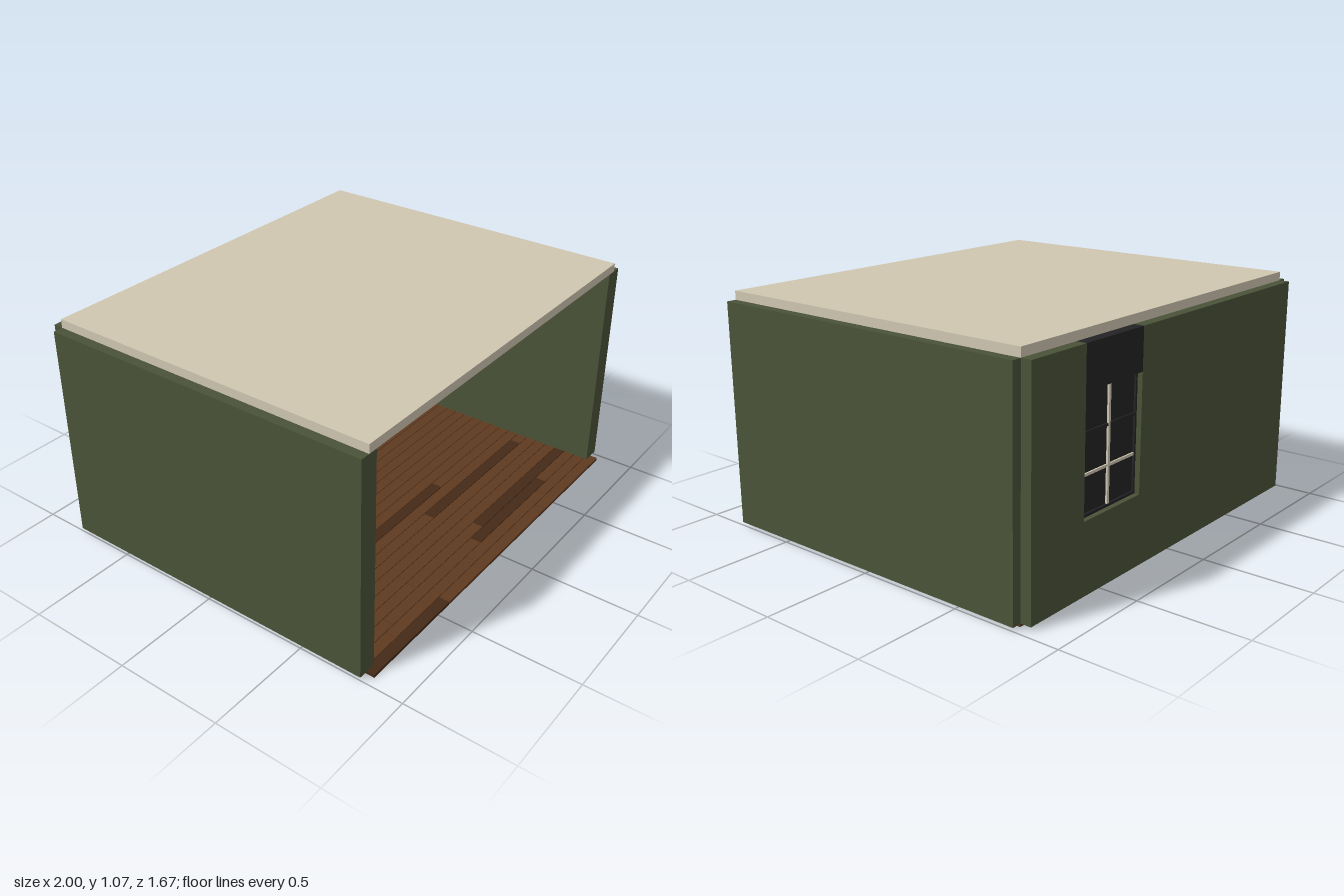
import * as THREE from 'three';

const mat = (name, color, side = THREE.FrontSide) => {
  const m = new THREE.MeshStandardMaterial({ color, side });
  m.name = name;
  return m;
};

export function createModel() {
  const green = mat('wall green', 0x4a5338);
  const cream = mat('cream', 0xd0c7b1);
  const wood = mat('wood brown', 0x5f3a20);
  const darkWood = mat('dark wood', 0x452916);
  const black = mat('charcoal', 0x232325);
  const red = mat('dull red', 0x6c2d2f);
  const blue = mat('sky blue', 0x7596a3);

  const room = new THREE.Group();
  room.name = 'room';
  const group = (name) => {
    const g = new THREE.Group();
    g.name = name;
    room.add(g);
    return g;
  };
  // Box given by its lowest and highest corners
  const box = (parent, name, m, x0, x1, y0, y1, z0, z1) => {
    const mesh = new THREE.Mesh(new THREE.BoxGeometry(x1 - x0, y1 - y0, z1 - z0), m);
    mesh.position.set((x0 + x1) / 2, (y0 + y1) / 2, (z0 + z1) / 2);
    mesh.name = name;
    parent.add(mesh);
    return mesh;
  };
  const cylinder = (parent, name, m, rTop, rBottom, x, y0, y1, z, sides = 16) => {
    const mesh = new THREE.Mesh(new THREE.CylinderGeometry(rTop, rBottom, y1 - y0, sides), m);
    mesh.position.set(x, (y0 + y1) / 2, z);
    mesh.name = name;
    parent.add(mesh);
    return mesh;
  };
  let seed = 11;
  const random = () => (seed = (seed * 16807) % 2147483647) / 2147483647;

  // Floor of staggered planks
  const floor = group('floor');
  const rows = 30, pitch = 1.625 / rows;
  for (let i = 0; i < rows; i++) {
    const z1 = 0.835 - i * pitch;
    let x = -0.955;
    let end = i === 0 ? -0.415 : -0.955 + 0.2 + random() * 0.6;
    while (x < 0.955) {
      if (0.955 - end < 0.1) end = 0.955;
      const m = random() < 0.1 ? darkWood : wood;
      box(floor, 'floorPlank', m, x, end - (end < 0.955 ? 0.003 : 0), 0, 0.014, z1 - pitch + 0.003, z1);
      x = end;
      end += i === 0 ? 0.83 : 0.45 + random() * 0.4;
    }
  }
  box(floor, 'subfloor', darkWood, -0.953, 0.953, 0.002, 0.008, -0.788, 0.833);

  // Walls and ceiling
  const walls = group('walls');
  for (const s of [-1, 1]) {
    box(walls, s > 0 ? 'leftWall' : 'rightWall', green, Math.min(s, s * 0.91), Math.max(s, s * 0.91), 0.015, 1.03, -0.79, 0.8);
  }
  const zb = -0.838, zf = -0.75;
  box(walls, 'backWallRight', green, -0.955, 0.26, 0.015, 1.03, zb, zf);
  box(walls, 'backWallLeft', green, 0.635, 0.955, 0.015, 1.03, zb, zf);
  box(walls, 'backWallBelowWindow', green, 0.26, 0.635, 0.015, 0.33, zb, zf);
  box(walls, 'ceiling', cream, -0.955, 0.955, 1.03, 1.07, -0.79, 0.8);

  // Window
  const win = group('window');
  box(win, 'windowHeader', black, 0.26, 0.635, 0.845, 1.03, zb, zf);
  box(win, 'windowBlind', cream, 0.255, 0.64, 0.845, 0.912, zf, zf + 0.012);
  box(win, 'windowSill', green, 0.245, 0.65, 0.305, 0.33, zf - 0.02, zf + 0.03);
  box(win, 'glass', blue, 0.26, 0.635, 0.33, 0.845, -0.799, -0.793);
  box(win, 'glassBack', black, 0.26, 0.635, 0.33, 0.845, -0.806, -0.8);
  box(win, 'bottomRail', black, 0.26, 0.635, 0.33, 0.342, -0.815, -0.77);
  box(win, 'topRail', black, 0.26, 0.635, 0.833, 0.845, -0.815, -0.77);
  box(win, 'rightJamb', black, 0.26, 0.27, 0.33, 0.845, -0.815, -0.77);
  box(win, 'leftJamb', cream, 0.624, 0.635, 0.342, 0.833, -0.815, -0.77);
  box(win, 'mullion', cream, 0.439, 0.452, 0.342, 0.833, -0.815, -0.78);
  box(win, 'lowerGlazingBar', cream, 0.27, 0.624, 0.496, 0.508, -0.813, -0.782);
  box(win, 'upperGlazingBar', cream, 0.27, 0.624, 0.664, 0.676, -0.794, -0.782);
  box(win, 'upperGlazingBarBack', black, 0.27, 0.624, 0.664, 0.676, -0.813, -0.805);

  // Curtain folds
  const curtains = group('curtains');
  [[0.228, red], [0.371, red], [0.514, black], [0.657, black]].forEach(([x, m]) =>
    cylinder(curtains, 'curtainFold', m, 0.018, 0.018, x, 0.175, 1.0, -0.715));

  // Bookcase: dark upper part, brown lower part
  const shelf = group('bookcase');
  const bz = -0.745, fz = -0.63;
  for (const [x0, x1] of [[-0.9, -0.888], [-0.522, -0.51]]) {
    box(shelf, 'bookcaseLowerSide', wood, x0, x1, 0.015, 0.5, bz, fz);
    box(shelf, 'bookcaseUpperSide', black, x0, x1, 0.5, 0.715, bz, fz);
  }
  box(shelf, 'bookcaseLowerBack', wood, -0.888, -0.522, 0.015, 0.53, bz, bz + 0.012);
  box(shelf, 'bookcaseUpperBack', black, -0.888, -0.522, 0.53, 0.7, bz, bz + 0.012);
  box(shelf, 'bookcaseTop', black, -0.9, -0.51, 0.7, 0.718, bz, fz + 0.004);
  [0.02, 0.19, 0.36, 0.525].forEach((y, row) => {
    box(shelf, 'shelfBoard', row % 2 ? black : wood, -0.888, -0.522, y, y + 0.013, bz + 0.012, fz);
    // Row of books, with a few leaning and a few gaps
    const spines = row < 2 ? [black, blue, red, green, black, wood, cream] : [black, red, green, wood, black, red, blue];
    let x = -0.878;
    while (x < -0.555) {
      const w = 0.009 + random() * 0.011, h = 0.075 + random() * 0.035;
      const m = spines[Math.floor(random() * (row < 2 ? 6.3 : 6.4))];
      const book = box(shelf, 'book', m, x, x + w, y + 0.013, y + 0.013 + h, bz + 0.02, fz - 0.012 - random() * 0.02);
      if (random() < 0.12) {
        book.rotation.z = 0.12;
        book.position.x += 0.006;
        x += 0.012;
      }
      x += w + 0.0015;
    }
  });

  // Desk
  const desk = group('desk');
  const dz0 = -0.63, dz1 = -0.37;
  box(desk, 'deskTop', wood, -0.255, 0.255, 0.247, 0.264, dz0, dz1);
  box(desk, 'frontApron', wood, -0.225, 0.225, 0.218, 0.247, dz1 - 0.03, dz1 - 0.02);
  box(desk, 'backApron', wood, -0.225, 0.225, 0.218, 0.247, dz0 + 0.02, dz0 + 0.03);
  for (const s of [-1, 1]) {
    box(desk, 'sideApron', wood, s * 0.235 - 0.005, s * 0.235 + 0.005, 0.218, 0.247, dz0 + 0.03, dz1 - 0.03);
    for (const z of [dz0 + 0.025, dz1 - 0.025]) {
      box(desk, 'deskLegTop', s < 0 ? black : wood, s * 0.235 - 0.011, s * 0.235 + 0.011, 0.165, 0.247, z - 0.011, z + 0.011);
      box(desk, 'deskLeg', wood, s * 0.235 - 0.008, s * 0.235 + 0.008, 0.014, 0.165, z - 0.008, z + 0.008);
    }
  }
  // Things on the desk
  box(desk, 'notebook', black, -0.165, -0.075, 0.264, 0.272, -0.53, -0.44);
  box(desk, 'closedBook', red, -0.05, 0.03, 0.264, 0.28, -0.55, -0.48);
  box(desk, 'stackedBook', black, -0.04, 0.025, 0.28, 0.29, -0.545, -0.485);
  const paper = box(desk, 'paper', cream, 0.05, 0.11, 0.264, 0.267, -0.48, -0.4);
  paper.rotation.y = 0.2;
  cylinder(desk, 'lampBase', wood, 0.018, 0.022, 0.168, 0.264, 0.305, -0.55);
  cylinder(desk, 'lampShade', cream, 0.018, 0.021, 0.168, 0.3, 0.37, -0.55);

  // Chair, facing the desk
  const chair = group('chair');
  const rear = -0.245, front = -0.38;
  for (const s of [-1, 1]) {
    const x = s * 0.062;
    box(chair, 'backPost', s < 0 ? black : wood, x - 0.006, x + 0.006, 0.18, 0.355, rear - 0.007, rear + 0.007);
    box(chair, 'rearLeg', wood, x - 0.006, x + 0.006, 0.014, 0.18, rear - 0.007, rear + 0.007);
    box(chair, 'frontLeg', black, x - 0.006, x + 0.006, 0.014, 0.165, front - 0.006, front + 0.006);
    box(chair, 'sideStretcher', wood, x - 0.003, x + 0.003, 0.07, 0.078, front, rear);
  }
  box(chair, 'topRail', black, -0.066, 0.066, 0.328, 0.35, rear - 0.004, rear + 0.004);
  box(chair, 'middleRail', wood, -0.056, 0.056, 0.262, 0.28, rear - 0.004, rear + 0.004);
  box(chair, 'seatFrame', black, -0.072, 0.072, 0.162, 0.178, front - 0.01, rear + 0.008);
  box(chair, 'seatCushion', red, -0.064, 0.064, 0.178, 0.187, front - 0.004, rear - 0.01);

  return room;
}
